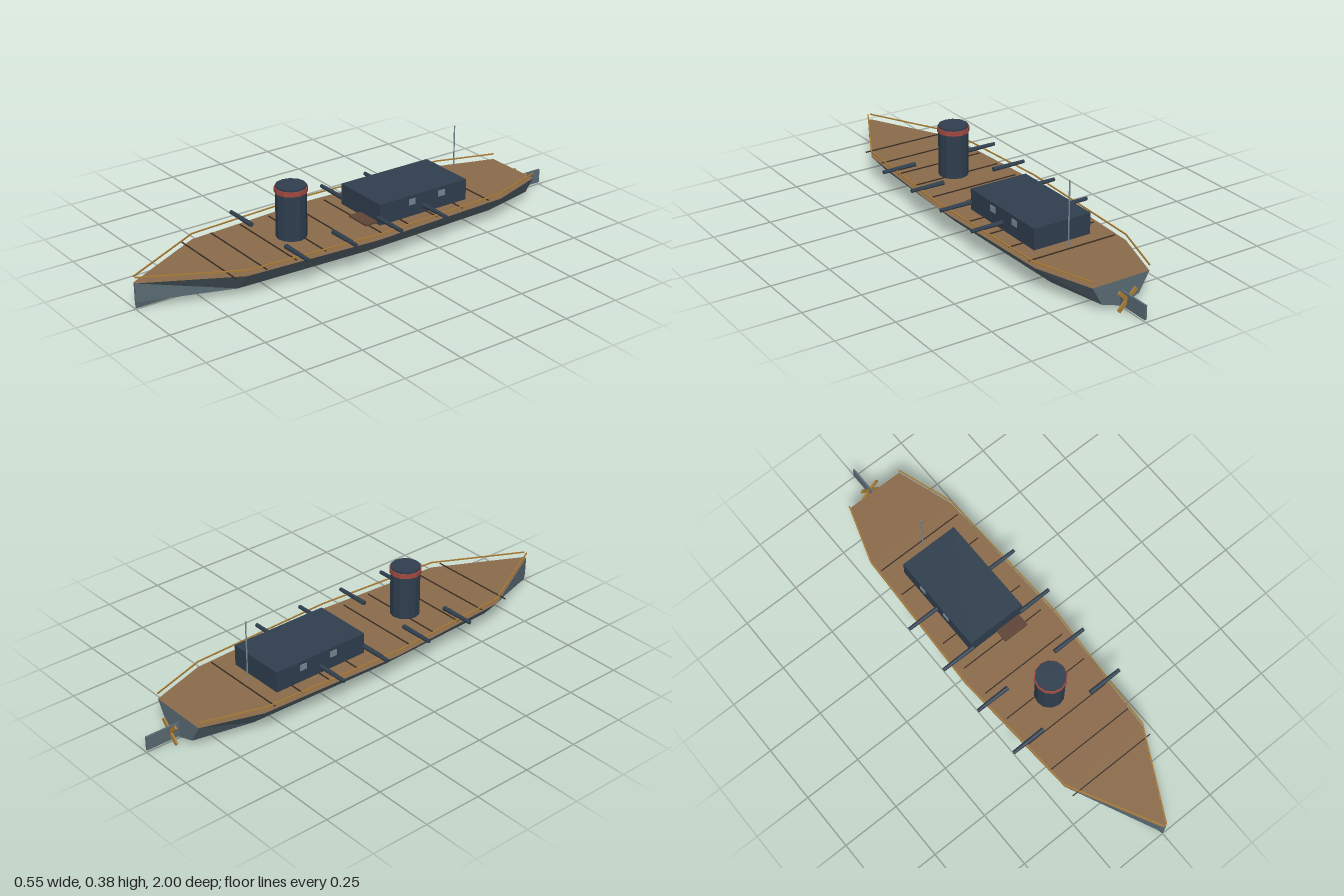
import * as THREE from 'three';

const mat = (name, color) => {
  const m = new THREE.MeshStandardMaterial({ color, flatShading: true });
  m.name = name;
  return m;
};

// Hull stations from stern to bow: [z, half width at the deck]
const STATIONS = [[-0.85, 0.13], [-0.6, 0.212], [0.05, 0.237], [0.63, 0.2], [1, 0.006]];
const DECK_Y = 0.11;

// Five-cornered section, anticlockwise seen from the bow; edge 0 is the deck
const section = ([z, w]) => [
  [w, DECK_Y, z], [-w, DECK_Y, z], [-w * 0.65, 0.03, z], [0, 0.003, z], [w * 0.65, 0.03, z],
];

// Skin the chosen section edges along the hull, with optional end caps
function loft(edges, caps) {
  const rings = STATIONS.map(section);
  const pos = [];
  const tri = (...corners) => corners.forEach((c) => pos.push(...c));
  for (let s = 0; s < rings.length - 1; s++) {
    const a = rings[s], b = rings[s + 1];
    for (const i of edges) {
      const j = (i + 1) % 5;
      tri(a[i], a[j], b[j]);
      tri(a[i], b[j], b[i]);
    }
  }
  if (caps) {
    const stern = rings[0], bow = rings[rings.length - 1];
    for (let i = 1; i < 4; i++) {
      tri(stern[0], stern[i + 1], stern[i]);
      tri(bow[0], bow[i], bow[i + 1]);
    }
  }
  const g = new THREE.BufferGeometry();
  g.setAttribute('position', new THREE.Float32BufferAttribute(pos, 3));
  g.computeVertexNormals();
  return g;
}

export function createModel() {
  const model = new THREE.Group();
  model.name = 'steamship';

  const hullGrey = mat('hull grey', 0x5a6b75);
  const navy = mat('navy', 0x2f3e4e);
  const wood = mat('deck wood', 0x8b6a4a);
  const darkWood = mat('dark wood', 0x5e4536);
  const seamDark = mat('seam dark', 0x3a2e24);
  const red = mat('funnel red', 0xa04a40);
  const brass = mat('brass', 0xa87c35);
  const paleGrey = mat('pale grey', 0x768793);

  const add = (name, geometry, material, x = 0, y = 0, z = 0, parent = model) => {
    const mesh = new THREE.Mesh(geometry, material);
    mesh.name = name;
    mesh.position.set(x, y, z);
    parent.add(mesh);
    return mesh;
  };
  const box = (w, h, d) => new THREE.BoxGeometry(w, h, d);
  const cyl = (r1, r2, h, n) => new THREE.CylinderGeometry(r1, r2, h, n);

  // Hull and deck
  add('hull', loft([1, 2, 3, 4], true), hullGrey);
  add('deck', loft([0], false), wood);

  // Cross seams on the deck
  for (let i = 0; i < 10; i++) {
    add('deckSeam', box(0.4, 0.004, 0.004), seamDark, 0, DECK_Y + 0.003, -0.545 + i * 0.136);
  }

  // Hand rails following both deck edges
  for (const side of [-1, 1]) {
    for (let s = 0; s < STATIONS.length - 1; s++) {
      const [z0, w0] = STATIONS[s], [z1, w1] = STATIONS[s + 1];
      const a = new THREE.Vector3(side * w0, 0.134, z0);
      const b = new THREE.Vector3(side * w1, 0.134, z1);
      const mid = a.clone().add(b).multiplyScalar(0.5);
      const rail = add('rail', box(0.005, 0.005, a.distanceTo(b)), brass, mid.x, mid.y, mid.z);
      rail.lookAt(b);
    }
  }

  // Deckhouse with two windows on each side
  add('deckhouse', box(0.262, 0.09, 0.44), navy, 0, 0.155, -0.26);
  for (const side of [-1, 1]) {
    for (const z of [-0.2, -0.35]) {
      add('window', box(0.008, 0.025, 0.032), paleGrey, side * 0.131, 0.173, z);
    }
  }

  // Hatch in front of the deckhouse
  add('hatch', box(0.115, 0.008, 0.06), darkWood, 0.0575, 0.119, -0.013);

  // Funnel with its red band
  add('funnel', cyl(0.0625, 0.0625, 0.218, 12), navy, 0, 0.219, 0.295);
  add('funnelBand', cyl(0.067, 0.067, 0.02, 12), red, 0, 0.311, 0.295);

  // Guns along both sides
  for (const side of [-1, 1]) {
    for (const z of [-0.263, -0.04, 0.18, 0.403]) {
      const gun = add('gun', cyl(0.008, 0.01, 0.152, 8), navy, side * 0.197, 0.14, z);
      gun.rotation.z = -side * Math.PI / 2;
    }
  }

  // Mast
  add('mast', cyl(0.003, 0.003, 0.273, 6), paleGrey, 0, 0.2465, -0.52);

  // Rudder and propeller at the stern
  add('rudder', box(0.008, 0.06, 0.15), hullGrey, 0, 0.04, -0.925);
  const propeller = new THREE.Group();
  propeller.name = 'propeller';
  propeller.position.set(0, 0.045, -0.89);
  model.add(propeller);
  for (const angle of [-1, 1]) {
    const blade = add('blade', box(0.112, 0.016, 0.008), brass, 0, 0, 0, propeller);
    blade.rotation.z = angle * Math.PI / 4;
  }

  return model;
}
